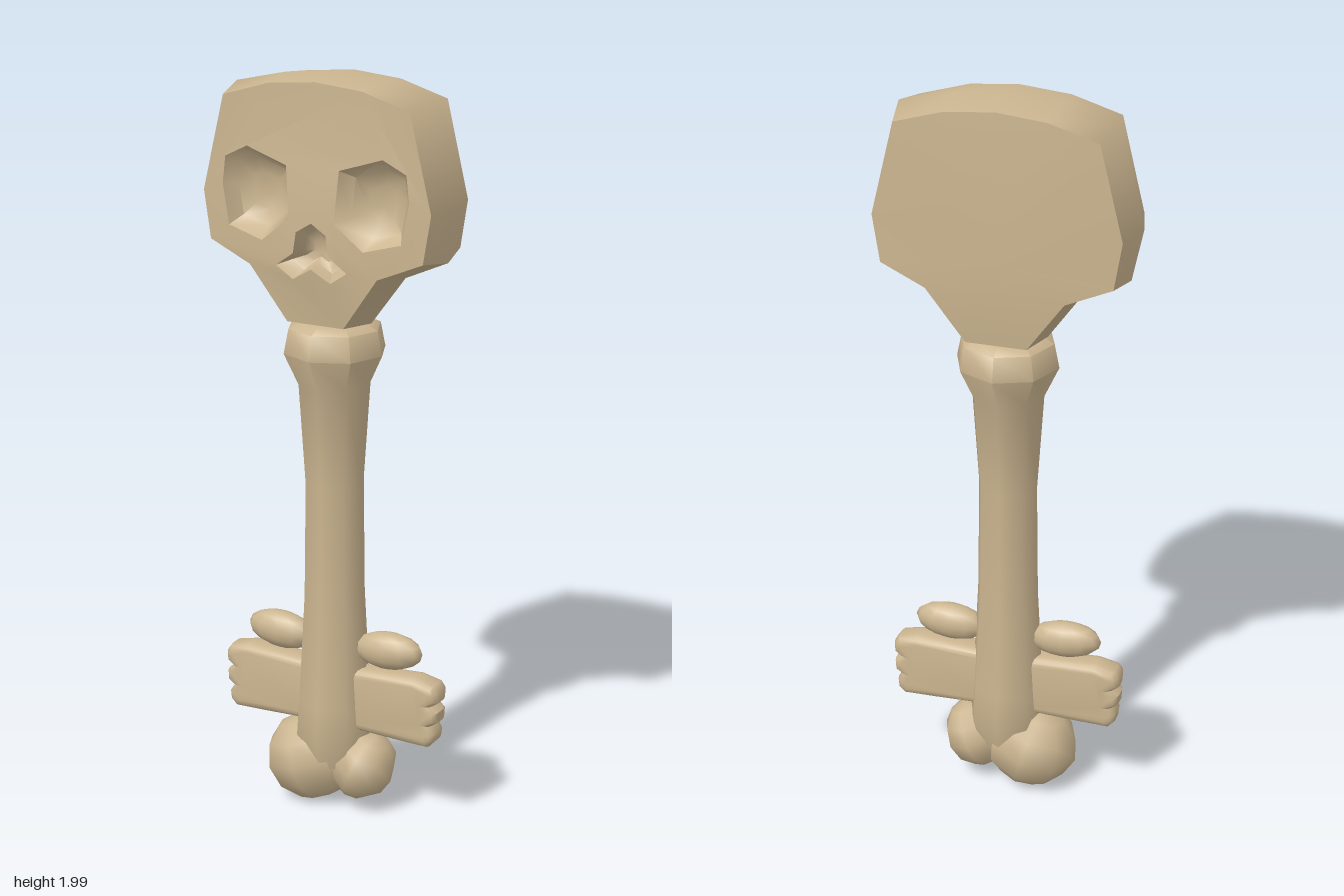
import * as THREE from 'three';
import { toCreasedNormals, mergeVertices } from 'three/addons/utils/BufferGeometryUtils.js';

const bone = new THREE.MeshStandardMaterial({ color: 0xcbb590 });
bone.name = 'bone tan';

// Skin rows of [x, y, z] points; rows may be closed rings or open strips
function loft(rows, closed, crease) {
  const n = rows[0].length, index = [];
  for (let i = 0; i < rows.length - 1; i++)
    for (let j = 0; j < (closed ? n : n - 1); j++) {
      const k = (j + 1) % n;
      const a = i * n + j, b = i * n + k, c = a + n, d = b + n;
      index.push(a, b, d, a, d, c);
    }
  const g = new THREE.BufferGeometry();
  g.setAttribute('position', new THREE.Float32BufferAttribute(rows.flat(2), 3));
  g.setIndex(index);
  return toCreasedNormals(g, crease);
}

function add(parent, name, geometry) {
  const m = new THREE.Mesh(geometry, bone);
  m.name = name;
  parent.add(m);
  return m;
}

// The face bulges toward the middle and the cheek line
function faceZ(x, y) {
  const up = y > 1.6 ? (1.99 - y) / 0.39 : y < 1.52 ? (y - 1.37) / 0.15 : 1;
  const across = Math.min(1, Math.max(0, 1 - Math.abs(x) / 0.32) * 1.3);
  return 0.104 + 0.024 * Math.max(0, up) * across;
}

const mirror = (pts) => pts.map(([x, y]) => [-x, y]).reverse();

function makeSkull() {
  const skull = new THREE.Group();
  skull.name = 'skull';

  // Counter-clockwise outlines: widest in the middle, inset at front and back
  const midHalf = [[0.105, 1.368], [0.195, 1.495], [0.318, 1.55], [0.347, 1.69], [0.28, 1.955], [0.14, 1.987]];
  const rimHalf = [[0.08, 1.375], [0.18, 1.515], [0.3, 1.565], [0.32, 1.69], [0.26, 1.937], [0.13, 1.976]];
  const mid = [...midHalf, [0, 2], ...mirror(midHalf)].map(([x, y]) => [x, y, 0]);
  const rim = [...rimHalf, [0, 1.988], ...mirror(rimHalf)];
  const front = rim.map(([x, y]) => [x, y, faceZ(x, y)]);
  const back = rim.map(([x, y]) => [x, y, -faceZ(x, y)]);
  const rows = [back, mid, front];

  add(skull, 'cranium side', loft(rows.map((r) => r.slice(2, 11)), false, 1.4));
  add(skull, 'jaw side', loft(rows.map((r) => [...r.slice(10), ...r.slice(0, 3)]), false, 0.6));
  add(skull, 'skull back', loft([back.map(() => [0, 1.6, -0.128]), back], true, 1));

  // Face plate with openings for the eyes and nose
  const eye = [[0.254, 1.783], [0.19, 1.815], [0.074, 1.778], [0.063, 1.645], [0.143, 1.582], [0.243, 1.609], [0.262, 1.714]];
  const noseHalf = [[0, 1.524], [0.053, 1.492], [0.1, 1.524], [0.05, 1.56], [0.042, 1.614]];
  const nose = [...noseHalf, [0, 1.64], ...mirror(noseHalf.slice(1))];
  const holes = [
    { name: 'left eye socket', pts: eye, depth: 0.07, centre: [0.165, 1.69] },
    { name: 'right eye socket', pts: mirror(eye), depth: 0.07, centre: [-0.165, 1.69] },
    { name: 'nose socket', pts: nose, depth: 0.05, centre: [0, 1.56] },
  ];
  const toV2 = (pts) => pts.map(([x, y]) => new THREE.Vector2(x, y));
  const shape = new THREE.Shape(toV2(rim));
  shape.holes = holes.map((h) => new THREE.Path(toV2(h.pts)));
  const face = new THREE.ShapeGeometry(shape);
  const p = face.attributes.position;
  for (let i = 0; i < p.count; i++) p.setZ(i, faceZ(p.getX(i), p.getY(i)));
  face.computeVertexNormals();
  add(skull, 'face', face);

  // Hollow bowls behind the openings
  for (const { name, pts, depth, centre: [cx, cy] } of holes) {
    const ring = (s, d) => pts.map(([x, y]) => [cx + (x - cx) * s, cy + (y - cy) * s, faceZ(x, y) * (1 - d) + (0.122 - depth) * d]);
    add(skull, name, loft([ring(1, 0), ring(0.75, 0.7), ring(0.4, 1), ring(0, 1)], true, 0.9));
  }
  return skull;
}

// One side of the key bit: a thumb-like rib above a three-fingered plate
function makeBit(name) {
  const bit = new THREE.Group();
  bit.name = name;

  const rib = add(bit, 'rib', new THREE.SphereGeometry(1, 12, 8));
  rib.scale.set(0.1, 0.051, 0.042);
  rib.position.set(0.16, 0.484, 0);
  rib.rotation.z = 0.06;

  const outline = [
    [0.04, 0.25], [0.2, 0.244], [0.29, 0.242], [0.307, 0.26], [0.31, 0.285], [0.298, 0.303],
    [0.315, 0.315], [0.317, 0.345], [0.3, 0.36], [0.317, 0.372], [0.318, 0.402], [0.305, 0.42], [0.25, 0.432], [0.04, 0.42],
  ];
  const plate = new THREE.ExtrudeGeometry(new THREE.Shape(outline.map(([x, y]) => new THREE.Vector2(x, y))), {
    depth: 0.03, bevelEnabled: true, bevelThickness: 0.025, bevelSize: 0.022, bevelOffset: -0.022, bevelSegments: 3,
  });
  plate.translate(0, 0, -0.015);
  add(bit, 'fingered plate', toCreasedNormals(plate, 0.8));
  return bit;
}

export function createModel() {
  const key = new THREE.Group();
  key.name = 'skeletonKey';
  key.add(makeSkull());

  // Eight-sided shaft with a knob under the skull
  const profile = [
    [0, 0.12], [0.085, 0.14], [0.106, 0.22], [0.099, 0.32], [0.083, 0.62], [0.079, 0.93],
    [0.097, 1.2], [0.136, 1.285], [0.123, 1.35], [0.09, 1.366], [0, 1.37],
  ].map(([r, y]) => new THREE.Vector2(r, y));
  add(key, 'shaft', toCreasedNormals(new THREE.LatheGeometry(profile, 8), 0.95));

  // Uneven knuckles at the foot
  const knuckles = [
    ['right knuckle', -0.068, 0.135, 0.13, 0.122, 0.118, 0.3],
    ['left knuckle', 0.088, 0.14, 0.088, 0.098, 0.095, -0.4],
  ];
  for (const [name, x, y, rx, ry, rz, tilt] of knuckles) {
    const lump = add(key, name, new THREE.SphereGeometry(1, 8, 6));
    lump.scale.set(rx, ry, rz);
    lump.position.set(x, y, 0);
    lump.rotation.z = tilt;
  }

  const rightBit = makeBit('right bit');
  rightBit.rotation.y = Math.PI;
  key.add(makeBit('left bit'), rightBit);
  return key;
}
